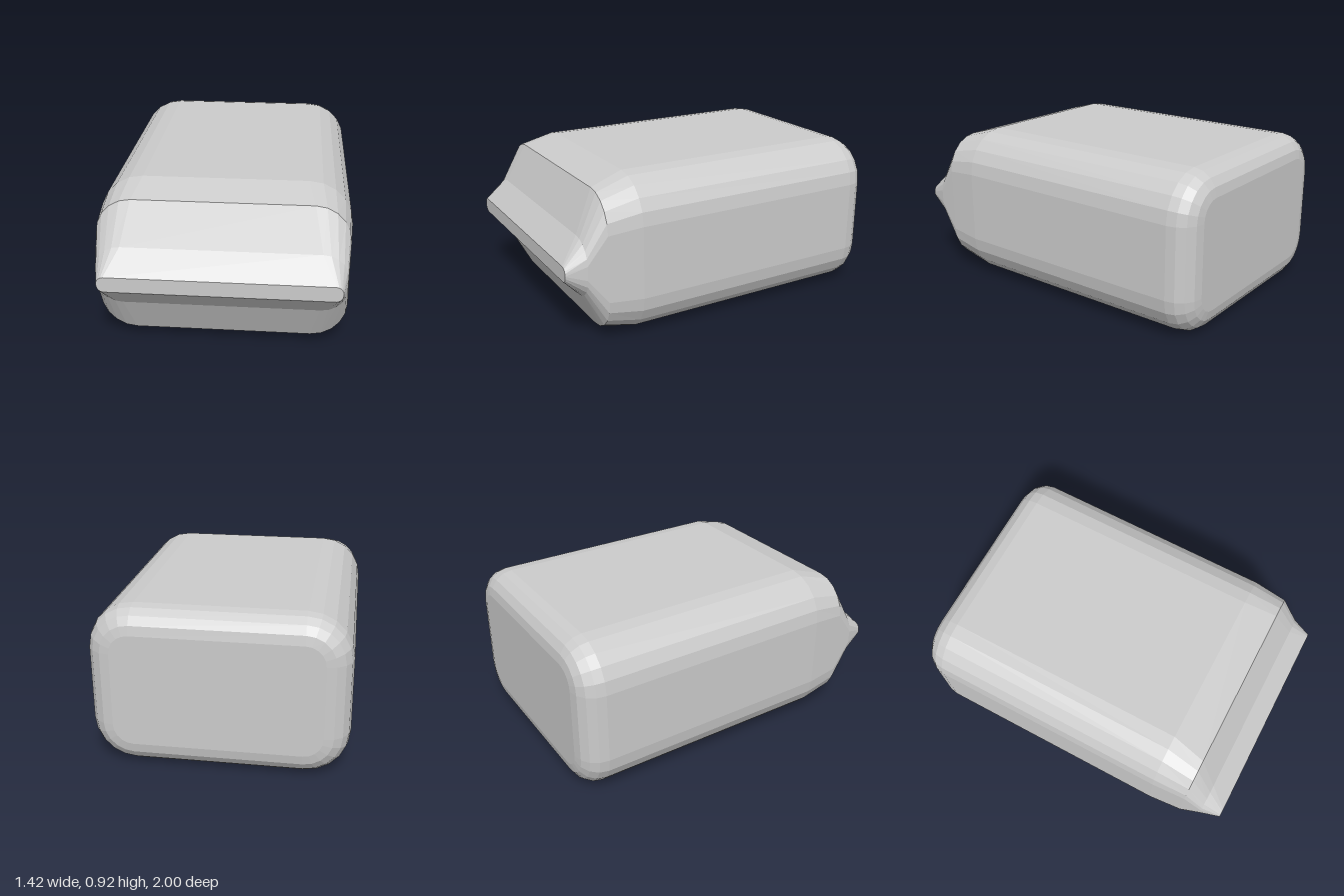
import * as THREE from 'three';

const CENTER_Y = 0.458;
const CORNER_STEPS = 5;

// Rounded-rectangle outline, counter-clockwise seen from the front
function section({ z, w, h, rx, ry }) {
  const points = [];
  for (let corner = 0; corner < 4; corner++) {
    const sx = corner === 0 || corner === 3 ? 1 : -1;
    const sy = corner < 2 ? 1 : -1;
    for (let i = 0; i <= CORNER_STEPS; i++) {
      const a = (corner + i / CORNER_STEPS) * Math.PI / 2;
      points.push([
        sx * (w - rx) + rx * Math.cos(a),
        CENTER_Y + sy * (h - ry) + ry * Math.sin(a),
        z,
      ]);
    }
  }
  return points;
}

// Skin the outlines from back to front and close both ends
function loft(sections) {
  const rings = sections.map(section);
  const n = rings[0].length;
  const last = (rings.length - 1) * n;
  const index = [];
  for (let j = 0; j < rings.length - 1; j++) {
    for (let i = 0; i < n; i++) {
      const a = j * n + i, b = j * n + (i + 1) % n;
      index.push(a, b, b + n, a, b + n, a + n);
    }
  }
  for (let i = 1; i < n - 1; i++) {
    index.push(0, i + 1, i);
    index.push(last, last + i, last + i + 1);
  }
  const geometry = new THREE.BufferGeometry();
  geometry.setAttribute('position', new THREE.Float32BufferAttribute(rings.flat(2), 3));
  geometry.setIndex(index);
  const flat = geometry.toNonIndexed();
  flat.computeVertexNormals();
  return flat;
}

export function createModel() {
  const group = new THREE.Group();
  group.name = 'roundedBlock';
  const w = 0.712, h = 0.458, r = 0.25, bevel = 0.14;
  const sections = [];

  // Rounded back edge
  for (let i = 4; i >= 0; i--) {
    const a = i / 4 * Math.PI / 2;
    const inset = bevel * (1 - Math.cos(a));
    sections.push({
      z: -1 + bevel * (1 - Math.sin(a)),
      w: w - inset, h: h - inset, rx: r - inset, ry: r - inset,
    });
  }

  // Straight body, shoulder, then pinched front lip
  sections.push(
    { z: 0.57, w, h, rx: r, ry: r },
    { z: 0.77, w: 0.697, h: 0.4, rx: 0.2, ry: 0.21 },
    { z: 0.885, w: 0.685, h: 0.17, rx: 0.14, ry: 0.13 },
    { z: 1, w: 0.657, h: 0.044, rx: 0.038, ry: 0.043 },
  );

  const material = new THREE.MeshStandardMaterial({ color: 0xcccccc, flatShading: true });
  const body = new THREE.Mesh(loft(sections), material);
  body.name = 'bodyWithFrontLip';
  group.add(body);
  return group;
}
